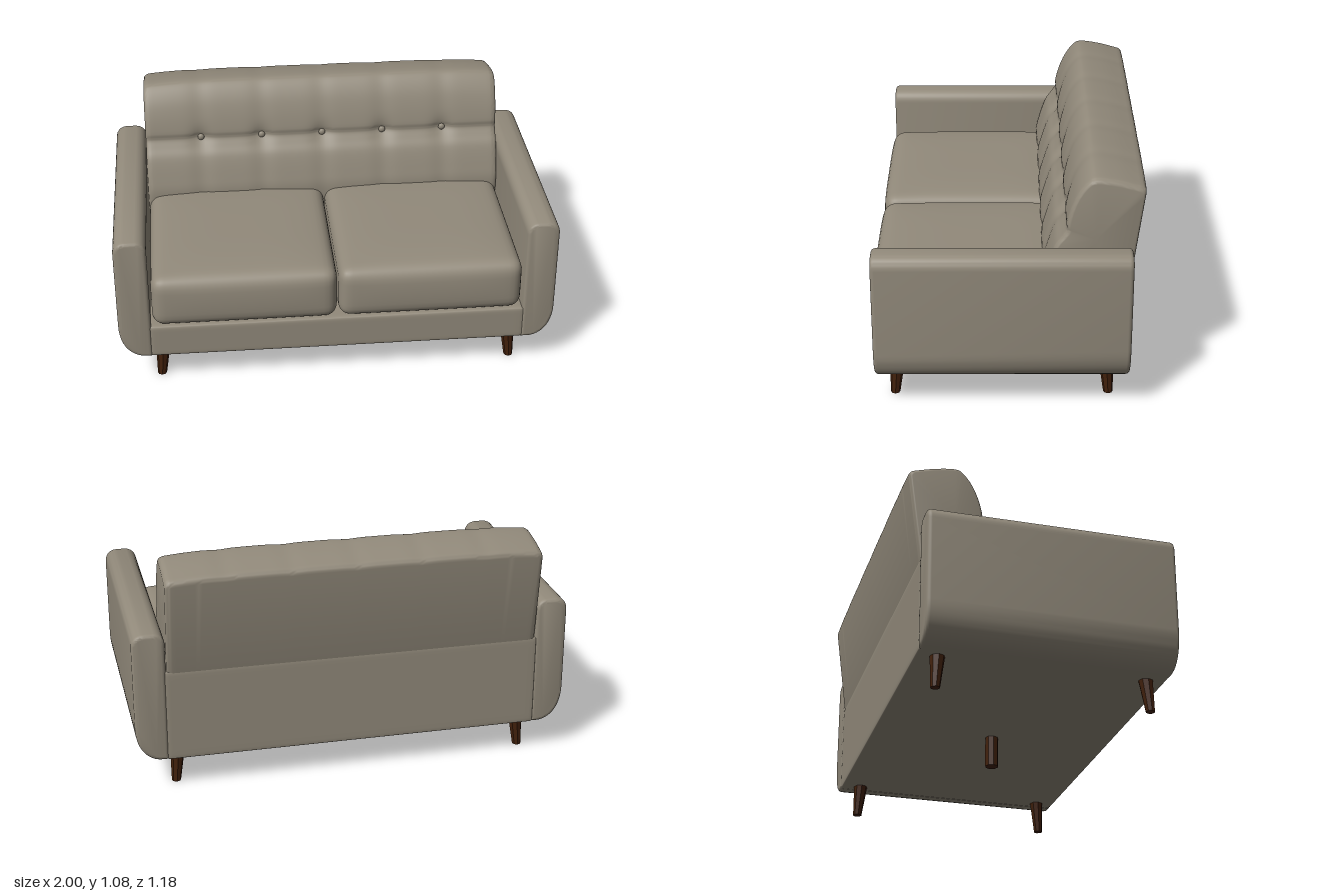
import * as THREE from 'three';
import { mergeVertices, toCreasedNormals } from 'three/addons/utils/BufferGeometryUtils.js';

const fabric = new THREE.MeshStandardMaterial({ color: 0x928a7b });
fabric.name = 'taupe upholstery';
const wood = new THREE.MeshStandardMaterial({ color: 0x42210c });
wood.name = 'dark wood';

const BUTTON_X = [-0.585, -0.2925, 0, 0.2925, 0.585];

function add(parent, name, geometry, material, x = 0, y = 0, z = 0) {
  const mesh = new THREE.Mesh(geometry, material);
  mesh.name = name;
  mesh.position.set(x, y, z);
  parent.add(mesh);
  return mesh;
}

// Rounded box with a smooth skin; crown and bulge puff up the top and front
function softBox(w, h, d, r, crown = 0, bulge = 0) {
  const geo = new THREE.BoxGeometry(2, 2, 2, 28, 14, 28);
  const half = new THREE.Vector3(w / 2, h / 2, d / 2);
  const inner = half.clone().subScalar(r);
  const p = geo.attributes.position;
  const v = new THREE.Vector3(), core = new THREE.Vector3();
  const spread = (t) => Math.sin(t * Math.PI / 2);
  for (let i = 0; i < p.count; i++) {
    v.set(spread(p.getX(i)), spread(p.getY(i)), spread(p.getZ(i))).multiply(half);
    core.copy(v).clamp(inner.clone().negate(), inner);
    v.sub(core).setLength(r).add(core);
    const fx = 1 - (v.x / half.x) ** 4;
    const fy = 1 - (v.y / half.y) ** 2;
    const fz = 1 - (v.z / half.z) ** 4;
    if (v.y > 0) v.y += crown * fx * fz * (v.y / half.y);
    if (v.z > 0) v.z += bulge * fx * Math.max(fy, 0) * (v.z / half.z);
    p.setXYZ(i, v.x, v.y, v.z);
  }
  geo.deleteAttribute('uv');
  geo.deleteAttribute('normal');
  const out = mergeVertices(geo, 1e-5);
  out.computeVertexNormals();
  return out;
}

// Left arm: rounded top, large radius at the lower outer corner
function armGeometry() {
  const b = 0.018;
  const x0 = 0.852 + b, x1 = 1 - b, y0 = 0.148 + b, y1 = 0.762 - b;
  const s = new THREE.Shape();
  s.moveTo(x0, y0);
  s.lineTo(x1 - 0.09, y0);
  s.bezierCurveTo(x1 - 0.03, y0 + 0.01, x1, y0 + 0.07, x1, y0 + 0.15);
  s.lineTo(x1, y1 - 0.04);
  s.quadraticCurveTo(x1, y1, x1 - 0.04, y1);
  s.lineTo(x0 + 0.04, y1);
  s.quadraticCurveTo(x0, y1, x0, y1 - 0.04);
  s.closePath();
  const geo = new THREE.ExtrudeGeometry(s, {
    depth: 1.115 - 2 * b, bevelEnabled: true, bevelSize: b, bevelThickness: b,
    bevelSegments: 4, curveSegments: 10,
  });
  geo.translate(0, 0, -0.537 + b);
  return toCreasedNormals(geo, 0.6);
}

const crease = (x) => BUTTON_X.reduce((sum, bx) => sum + Math.exp(-(((x - bx) / 0.045) ** 2)), 0);

// Backrest: side profile lofted across x, pulled in at the tufting
function backGeometry() {
  const s = new THREE.Shape();
  s.moveTo(-0.535, 0.57);
  s.lineTo(-0.589, 1.005);
  s.quadraticCurveTo(-0.592, 1.025, -0.575, 1.035);
  s.splineThru([[-0.48, 1.062], [-0.385, 1.076], [-0.345, 1.06], [-0.305, 1.005], [-0.275, 0.93],
    [-0.255, 0.85], [-0.256, 0.82], [-0.235, 0.785], [-0.205, 0.74], [-0.175, 0.65],
    [-0.158, 0.57], [-0.165, 0.45]].map(([z, y]) => new THREE.Vector2(z, y)));
  s.lineTo(-0.5, 0.45);
  const profile = s.getPoints(4);
  const n = profile.length;
  const half = 0.85, r = 0.028, cz = -0.38, cy = 0.78;

  const stations = [];
  for (let i = 0; i <= 5; i++) stations.push(-half + r * (1 - Math.cos(i / 5 * Math.PI / 2)));
  for (let i = 1; i < 96; i++) stations.push((half - r) * (i / 48 - 1));
  for (let i = 5; i >= 0; i--) stations.push(half - r * (1 - Math.cos(i / 5 * Math.PI / 2)));

  const pos = [], index = [];
  for (const x of stations) {
    const over = Math.max(0, Math.abs(x) - (half - r));
    const inset = r - Math.sqrt(Math.max(0, r * r - over * over));
    const c = crease(x);
    for (const { x: z0, y: y0 } of profile) {
      let z = z0, y = y0;
      const top = THREE.MathUtils.smoothstep(y0, 0.85, 1.06);
      if (z0 > -0.4) z -= c * (0.007 + 0.013 * Math.exp(-(((y0 - 0.82) / 0.045) ** 2))) * (1 - 0.6 * top);
      y -= top * (0.003 * c + 0.018 * (x / half) ** 6);
      const len = Math.hypot(z - cz, y - cy);
      const k = 1 - 0.7 * inset / len;
      pos.push(x, cy + (y - cy) * k, cz + (z - cz) * k);
    }
  }
  const rings = stations.length;
  for (let i = 0; i < rings - 1; i++) {
    for (let j = 0; j < n; j++) {
      const a = i * n + j, b = i * n + (j + 1) % n;
      index.push(a, b, a + n, b, b + n, a + n);
    }
  }
  // Flat end caps
  pos.push(-half, cy, cz, half, cy, cz);
  const c0 = rings * n, last = (rings - 1) * n;
  for (let j = 0; j < n; j++) {
    const k = (j + 1) % n;
    index.push(k, j, c0, last + j, last + k, c0 + 1);
  }
  const geo = new THREE.BufferGeometry();
  geo.setAttribute('position', new THREE.Float32BufferAttribute(pos, 3));
  geo.setIndex(index);
  return toCreasedNormals(geo, 0.7);
}

// Tapered faceted leg whose foot is shifted outward by (dx, dz)
function legGeometry(rTop, rFoot, dx, dz) {
  const h = 0.16;
  const geo = new THREE.CylinderGeometry(rTop, rFoot, h, 8).toNonIndexed();
  geo.translate(0, h / 2, 0);
  const p = geo.attributes.position;
  for (let i = 0; i < p.count; i++) {
    const t = 1 - p.getY(i) / h;
    p.setX(i, p.getX(i) + dx * t);
    p.setZ(i, p.getZ(i) + dz * t);
  }
  return toCreasedNormals(geo, 0.3);
}

export function createModel() {
  const sofa = new THREE.Group();
  sofa.name = 'sofa';

  // Frame
  add(sofa, 'baseRail', softBox(1.724, 0.162, 1.11, 0.014), fabric, 0, 0.229, 0.02);
  add(sofa, 'backPanel', softBox(1.72, 0.43, 0.14, 0.01), fabric, 0, 0.363, -0.466);

  // Arms
  const left = armGeometry();
  add(sofa, 'leftArm', left, fabric);
  const right = add(sofa, 'rightArm', left, fabric);
  right.scale.x = -1;

  // Seat cushions
  const cushion = softBox(0.842, 0.25, 0.87, 0.055, 0.022, 0.012);
  for (const side of [-1, 1]) {
    add(sofa, side > 0 ? 'leftSeatCushion' : 'rightSeatCushion', cushion, fabric, side * 0.424, 0.433, 0.148);
  }

  // Backrest and its buttons
  add(sofa, 'backrest', backGeometry(), fabric);
  const button = new THREE.SphereGeometry(0.016, 16, 10);
  for (const x of BUTTON_X) {
    add(sofa, 'backButton', button, fabric, x, 0.822, -0.268).scale.z = 0.7;
  }

  // Legs
  for (const side of [-1, 1]) {
    add(sofa, 'frontLeg', legGeometry(0.034, 0.021, side * 0.012, 0.012), wood, side * 0.804, 0, 0.486);
    add(sofa, 'rearLeg', legGeometry(0.034, 0.021, side * 0.012, -0.011), wood, side * 0.804, 0, -0.442);
  }
  add(sofa, 'centreLeg', legGeometry(0.031, 0.031, 0, 0), wood, 0, 0.005, 0.02);

  return sofa;
}
